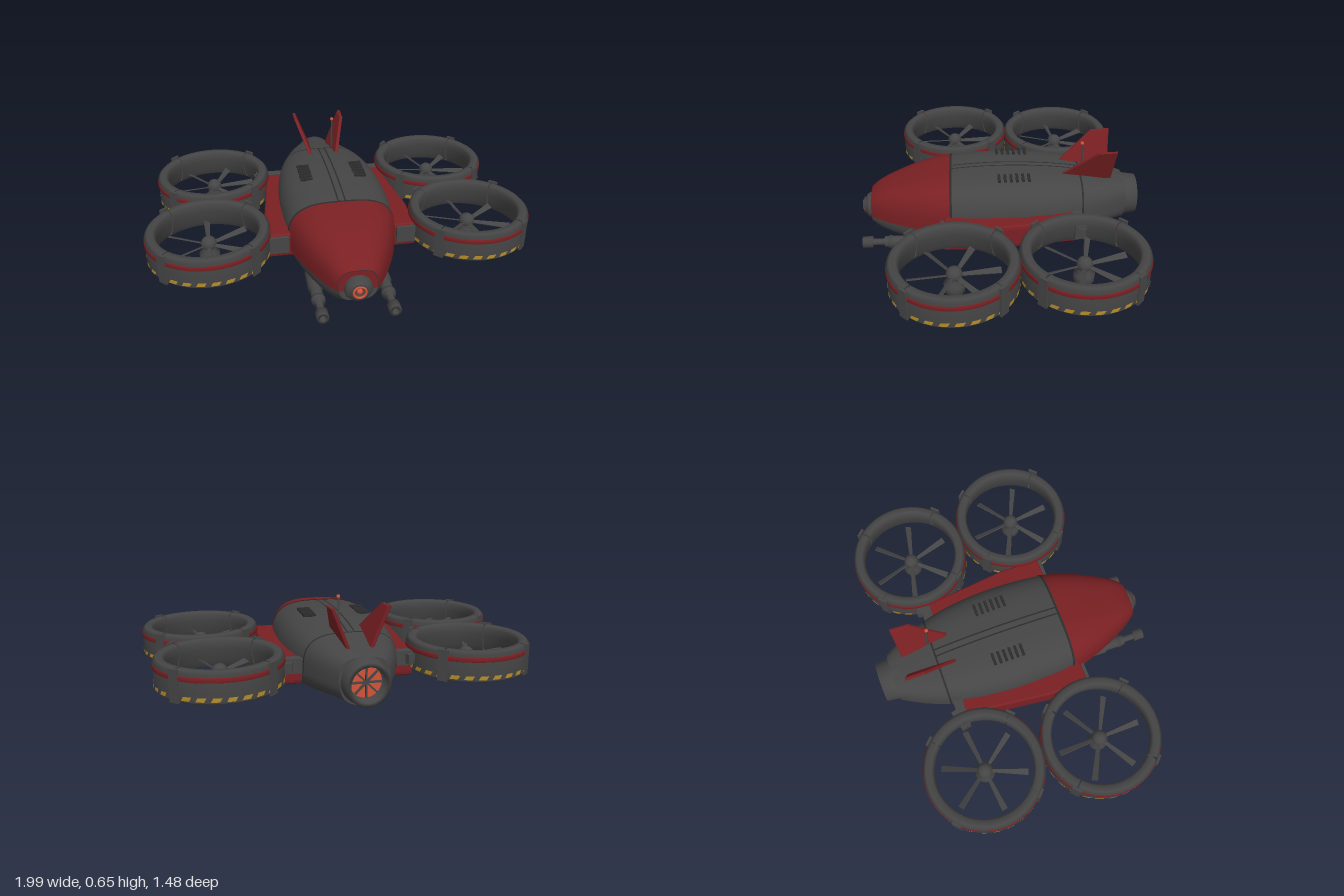
import * as THREE from 'three';
import { mergeGeometries } from 'three/addons/utils/BufferGeometryUtils.js';

const mat = (name, color) => {
  const m = new THREE.MeshStandardMaterial({ color, side: THREE.DoubleSide });
  m.name = name;
  return m;
};

// Hull stations along z: mid height, top, bottom, half width
const STATIONS = [
  [-0.67, 0.28, 0.4, 0.17, 0.125], [-0.6, 0.275, 0.418, 0.172, 0.165], [-0.5, 0.27, 0.44, 0.158, 0.21],
  [-0.35, 0.26, 0.467, 0.135, 0.258], [-0.15, 0.25, 0.485, 0.115, 0.288], [0.05, 0.245, 0.488, 0.1, 0.293],
  [0.26, 0.24, 0.475, 0.093, 0.278], [0.4, 0.24, 0.458, 0.098, 0.24], [0.55, 0.24, 0.415, 0.115, 0.178],
  [0.66, 0.24, 0.368, 0.155, 0.118], [0.69, 0.24, 0.345, 0.18, 0.095],
];
const stationCurve = new THREE.CubicInterpolant(
  STATIONS.map(s => s[0]), STATIONS.flatMap(s => s.slice(1)), 4, new Float32Array(4));

// Point on the hull surface; the lower hull is a little narrower than the shell
function hullPoint(z, a, upper, off = 0) {
  const [mid, top, bottom, w] = stationCurve.evaluate(z);
  const pow = (v, n) => Math.sign(v) * Math.pow(Math.abs(v), 2 / n);
  const n = upper ? 3.2 : 2.5;
  const width = upper ? w : w * 0.95;
  const height = upper ? top - mid : mid - bottom;
  return [(width + off) * pow(Math.cos(a), n), mid + (height + off) * pow(Math.sin(a), n), z];
}

// Grid surface from a point function of (u, v)
function surface(nu, nv, point) {
  const pos = [], idx = [];
  for (let i = 0; i <= nu; i++) for (let j = 0; j <= nv; j++) pos.push(...point(i / nu, j / nv));
  for (let i = 0; i < nu; i++) for (let j = 0; j < nv; j++) {
    const a = i * (nv + 1) + j, b = a + nv + 1;
    idx.push(a, a + 1, b, a + 1, b + 1, b);
  }
  const g = new THREE.BufferGeometry();
  g.setAttribute('position', new THREE.Float32BufferAttribute(pos, 3));
  g.setIndex(idx);
  g.computeVertexNormals();
  return g;
}

const hullPatch = (z0, z1, a0, a1, upper, off = 0, nu = 24, nv = 40) =>
  surface(nu, nv, (u, v) => hullPoint(z0 + (z1 - z0) * u, a0 + (a1 - a0) * v, upper, off));

// Flat end closing the hull
const hullCap = (z, a0, upper) => surface(1, 32, (u, v) => {
  const p = hullPoint(z, a0 + Math.PI * v, upper);
  const mid = stationCurve.evaluate(z)[0];
  return [p[0] * (1 - u), mid + (p[1] - mid) * (1 - u), z];
});

const lathe = (pts, seg = 32, start = 0, len = Math.PI * 2) =>
  new THREE.LatheGeometry(pts.map(p => new THREE.Vector2(...p)), seg, start, len);

export function createModel() {
  const dark = mat('charcoal', 0x454545), black = mat('seam black', 0x2c2c2c);
  const red = mat('deep red', 0x7a2023), gold = mat('hazard yellow', 0xb48c2a), glow = mat('glowing orange', 0xd0523a);
  const model = new THREE.Group();
  model.name = 'quadRotorDrone';

  const add = (name, geo, material, x = 0, y = 0, z = 0, parent = model) => {
    const m = new THREE.Mesh(geo, material);
    m.name = name;
    m.position.set(x, y, z);
    parent.add(m);
    return m;
  };
  const box = (w, h, d) => new THREE.BoxGeometry(w, h, d);
  // Lathe whose axis points forward along +z
  const forward = (pts, seg) => lathe(pts, seg).rotateX(Math.PI / 2);

  // Body shell, front cowl and lower hull
  const PI = Math.PI;
  add('upperShell', hullPatch(-0.67, 0.265, 0, PI, true), dark);
  add('frontCowl', hullPatch(0.265, 0.69, 0, PI, true, 0.003), red);
  add('cowlFace', hullCap(0.69, 0, true), red);
  add('lowerHull', hullPatch(-0.67, 0.69, PI, 2 * PI, false), dark);
  add('lowerHullFace', hullCap(0.69, PI, false), dark);
  add('tailFaceUpper', hullCap(-0.67, 0, true), dark);
  add('tailFaceLower', hullCap(-0.67, PI, false), dark);
  add('shellLip', surface(40, 1, (u, v) => {
    const p = hullPoint(-0.67 + 1.36 * u, 0, true);
    return [p[0] * (1 - 2 * v), p[1], p[2]];
  }), black);

  // Panel seams
  add('cowlSeam', hullPatch(0.255, 0.267, 0, PI, true, 0.004, 1), black);
  add('rearSeam', hullPatch(-0.43, -0.42, 0, PI, true, 0.003, 1), black);
  add('lowerSeam', hullPatch(-0.165, -0.155, PI, 2 * PI, false, 0.003, 1), black);
  add('beltSeam', hullPatch(-0.67, 0.69, PI, PI * 1.003, false, 0.003, 24, 1), black);
  for (const s of [-1, 1]) {
    add('spineSeam', surface(20, 1, (u, v) => {
      const z = -0.42 + 0.675 * u;
      return [s * 0.018 + (v - 0.5) * 0.008, stationCurve.evaluate(z)[1] + 0.003, z];
    }), black);
  }

  // Nose sensor
  add('noseSensor', forward([[0.068, 0.66], [0.068, 0.705], [0.058, 0.72], [0.045, 0.72], [0.045, 0.735], [0.032, 0.735], [0.03, 0.72], [0, 0.72]]), dark, 0, 0.255);
  add('noseGlowRing', new THREE.TorusGeometry(0.03, 0.006, 8, 32), glow, 0, 0.255, 0.735);
  add('noseLens', new THREE.SphereGeometry(0.015, 16, 10), glow, 0, 0.255, 0.725);

  // Tail exhaust
  add('exhaustNozzle', forward([[0.125, -0.63], [0.112, -0.69], [0.105, -0.742], [0.085, -0.742], [0.078, -0.68], [0, -0.68]]), dark, 0, 0.288);
  add('exhaustGlow', new THREE.CircleGeometry(0.077, 32), glow, 0, 0.288, -0.685);
  for (let i = 0; i < 4; i++) add('exhaustVane', box(0.15, 0.008, 0.012), dark, 0, 0.288, -0.692).rotation.z = i * PI / 4;

  // Tail fins
  const finShape = new THREE.Shape([[0.32, 0.455], [0.505, 0.61], [0.6, 0.615], [0.59, 0.425], [0.45, 0.425]].map(p => new THREE.Vector2(...p)));
  for (const s of [-1, 1]) {
    const g = new THREE.ExtrudeGeometry(finShape, { depth: 0.012, bevelSize: 0.003, bevelThickness: 0.003, bevelSegments: 1 });
    g.rotateY(PI / 2);
    const p = g.attributes.position;
    for (let i = 0; i < p.count; i++) p.setX(i, p.getX(i) - 0.006 + s * (0.077 + (p.getY(i) - 0.47) * 0.4));
    g.computeVertexNormals();
    add('tailFin', g, red);
  }

  // Antenna
  add('antennaMast', new THREE.CylinderGeometry(0.004, 0.007, 0.2, 8), dark, 0.065, 0.54, -0.436).rotation.x = 0.08;
  add('antennaTip', new THREE.SphereGeometry(0.01, 12, 8), glow, 0.065, 0.637, -0.428);

  for (const s of [-1, 1]) {
    // Top vents
    for (let i = 0; i < 6; i++) add('ventSlat', box(0.065, 0.014, 0.014), black, s * 0.145, 0.485, 0.008 - i * 0.031);

    // Side sponsons
    const plan = new THREE.Shape([[0.25, 0.39], [0.32, 0.39], [0.375, -0.08], [0.372, -0.29], [0.25, -0.29]]
      .map(p => new THREE.Vector2(s * p[0], p[1])));
    const sponson = new THREE.ExtrudeGeometry(plan, { depth: 0.09, bevelSize: 0.01, bevelThickness: 0.02, bevelSegments: 2 });
    add('sideSponson', sponson.rotateX(-PI / 2), red, 0, 0.225);

    // Arms joining the rotor ducts to the body
    add('rearArm', box(0.2, 0.075, 0.05), dark, s * 0.29, 0.3, -0.39);
    add('rearArmBrace', box(0.11, 0.05, 0.04), dark, s * 0.345, 0.3, -0.41).rotation.y = s * -0.25;
    add('frontArm', box(0.12, 0.09, 0.05), dark, s * 0.34, 0.28, 0.29);

    // Underslung guns
    const gun = new THREE.Group();
    gun.name = 'gun';
    gun.position.set(s * 0.175, 0.128, 0);
    model.add(gun);
    add('gunHousing', forward([[0, 0.18], [0.036, 0.36], [0.038, 0.5], [0.03, 0.51], [0.03, 0.62], [0.018, 0.625], [0.018, 0.69]], 16), dark, 0, 0, 0, gun);
    add('gunMuzzle', forward([[0, 0.685], [0.031, 0.685], [0.031, 0.738], [0.016, 0.738], [0.014, 0.7], [0, 0.7]], 12), dark, 0, 0, 0, gun);
    add('gunCollar', forward([[0.018, 0.575], [0.035, 0.58], [0.035, 0.6], [0.018, 0.605]], 16), dark, 0, 0, 0, gun);
  }

  // Belly camera
  add('cameraNeck', new THREE.CylinderGeometry(0.03, 0.025, 0.05, 16), dark, 0, 0.105, 0.14);
  add('cameraBall', new THREE.SphereGeometry(0.053, 24, 16), dark, 0, 0.053, 0.14);
  add('cameraLens', new THREE.CylinderGeometry(0.016, 0.016, 0.012, 16), glow, 0, 0.048, 0.192).rotation.x = PI / 2;

  // Ducted rotors: x, z, blade angle in degrees
  const ductProfile = [[0.285, 0.232], [0.268, 0.265], [0.254, 0.33], [0.254, 0.368], [0.266, 0.385], [0.295, 0.385],
    [0.31, 0.37], [0.31, 0.242], [0.302, 0.232], [0.285, 0.232]];
  const dashes = [];
  for (let i = 0; i < 28; i++) {
    const a = i / 28 * PI * 2;
    dashes.push(surface(2, 1, (u, v) => {
      const t = a + u * 0.13 + v * 0.035;
      return [Math.sin(t) * 0.3125, 0.246 + v * 0.02, Math.cos(t) * 0.3125];
    }));
  }
  const dashGeo = mergeGeometries(dashes);

  for (const [x, z, deg] of [[-0.635, -0.375, 68], [0.635, -0.375, 108], [-0.68, 0.245, 92], [0.68, 0.245, 97]]) {
    const rotor = new THREE.Group();
    rotor.name = 'ductedRotor';
    rotor.position.set(x, 0, z);
    model.add(rotor);
    // Duct in four segments with clamps across the joints
    for (let i = 0; i < 4; i++) {
      const a = PI / 4 + i * PI / 2;
      add('ductSegment', lathe(ductProfile, 20, a + 0.014, PI / 2 - 0.028), dark, 0, 0, 0, rotor);
      const clamp = add('ductClamp', box(0.05, 0.158, 0.012), dark, Math.sin(a) * 0.313, 0.309, Math.cos(a) * 0.313, rotor);
      clamp.rotation.y = a;
    }
    add('redBand', lathe([[0.309, 0.333], [0.314, 0.336], [0.314, 0.356], [0.309, 0.359]], 80), red, 0, 0, 0, rotor);
    add('hazardDashes', dashGeo, gold, 0, 0, 0, rotor);
    // Motor and spinner
    add('motorPod', lathe([[0, 0.172], [0.036, 0.176], [0.05, 0.2], [0.052, 0.238], [0.036, 0.25], [0.036, 0.285]], 24), dark, 0, 0, 0, rotor);
    add('motorGlow', new THREE.CylinderGeometry(0.035, 0.03, 0.01, 20), glow, 0, 0.172, 0, rotor);
    add('spinner', new THREE.SphereGeometry(0.04, 20, 12), dark, 0, 0.29, 0, rotor);
    // Blades, wider at the tip and pitched
    for (let i = 0; i < 6; i++) {
      const g = box(0.2, 0.006, 0.034);
      const p = g.attributes.position;
      for (let k = 0; k < p.count; k++) if (p.getX(k) < 0) p.setZ(k, p.getZ(k) * 0.5);
      g.rotateX(0.5).translate(0.125, 0.285, 0);
      add('blade', g, dark, 0, 0, 0, rotor).rotation.y = deg * PI / 180 + i * PI / 3;
    }
  }
  return model;
}
